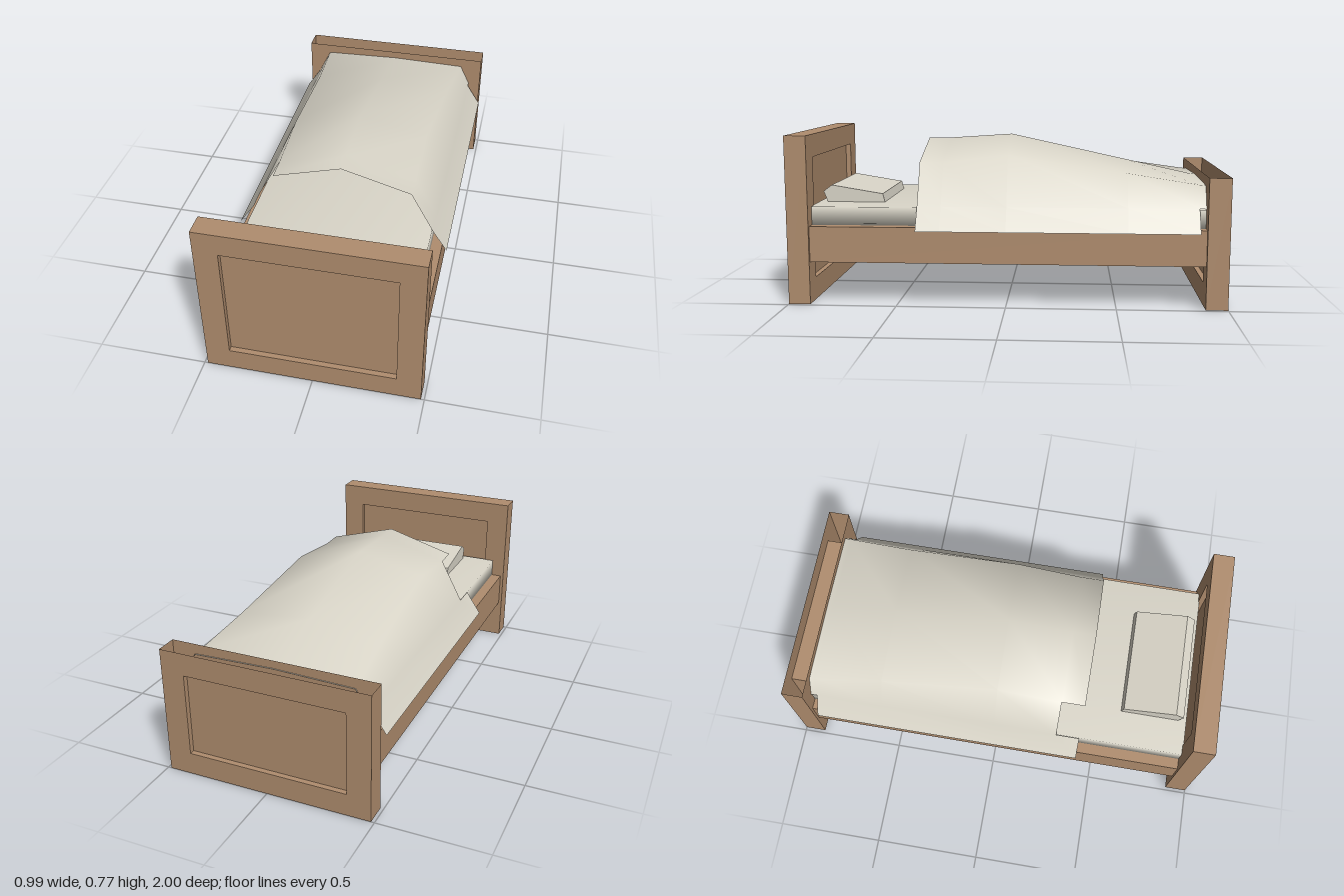
import * as THREE from 'three';
import { mergeVertices } from 'three/addons/utils/BufferGeometryUtils.js';

const wood = new THREE.MeshStandardMaterial({ color: 0xb08d6e, side: THREE.DoubleSide });
wood.name = 'wood';
const linen = new THREE.MeshStandardMaterial({ color: 0xd9d5c8, side: THREE.DoubleSide });
linen.name = 'linen';

function add(parent, name, geometry, material) {
  const mesh = new THREE.Mesh(geometry, material);
  mesh.name = name;
  parent.add(mesh);
  return mesh;
}

function box(x0, x1, y0, y1, z0, z1) {
  return new THREE.BoxGeometry(x1 - x0, y1 - y0, z1 - z0)
    .translate((x0 + x1) / 2, (y0 + y1) / 2, (z0 + z1) / 2);
}

// Frame with a recessed panel on both faces; the top edge can be left open
function endBoard(name, height, z, openTop) {
  const group = new THREE.Group();
  group.name = name;
  const W = 0.485, P = 0.375, M = 0.105;
  const shape = new THREE.Shape([[-W, 0], [W, 0], [W, height], [-W, height]]
    .map(p => new THREE.Vector2(...p)));
  shape.holes.push(new THREE.Path([[-P, M], [-P, height - M], [P, height - M], [P, M]]
    .map(p => new THREE.Vector2(...p))));
  let frame = new THREE.ExtrudeGeometry(shape, { depth: 0.1, bevelEnabled: false });
  if (openTop) {
    const pos = frame.attributes.position, kept = [];
    for (let i = 0; i < pos.count; i += 3) {
      const lowest = Math.min(pos.getY(i), pos.getY(i + 1), pos.getY(i + 2));
      if (lowest > height - 0.001) continue;
      for (let k = i; k < i + 3; k++) kept.push(pos.getX(k), pos.getY(k), pos.getZ(k));
    }
    frame = new THREE.BufferGeometry();
    frame.setAttribute('position', new THREE.Float32BufferAttribute(kept, 3));
    frame.computeVertexNormals();
  }
  add(group, name + 'Frame', frame, wood);
  add(group, name + 'Panel', box(-P, P, M, height - M, 0.025, 0.075), wood);
  group.position.z = z;
  return group;
}

// Draped blanket: each station runs from one hem over the top to the other
function blanketGeometry() {
  // z, ridge height, shoulder x, shoulder height
  const stations = [
    [0.41, 0.735, 0.32, 0.645],
    [0.3, 0.735, 0.32, 0.645],
    [0, 0.755, 0.32, 0.68],
    [-0.55, 0.635, 0.345, 0.6],
    [-0.87, 0.565, 0.373, 0.553],
    [-0.905, 0.56, 0.375, 0.55],
  ];
  const positions = [], index = [];
  for (const [z, ridge, sx, sy] of stations) {
    const section = [[-0.497, 0.345], [-0.425, 0.45], [-sx, sy], [0, ridge],
      [sx, sy], [0.425, 0.45], [0.493, 0.345]];
    for (const [x, y] of section) positions.push(x, y, z);
  }
  for (let i = 0; i < stations.length - 1; i++) {
    for (let j = 0; j < 6; j++) {
      const openCorner = i === 0 && j === 1;
      const hemPastEnd = i === stations.length - 2 && (j === 0 || j === 5);
      if (openCorner || hemPastEnd) continue;
      const a = i * 7 + j, b = a + 1, c = a + 8, d = a + 7;
      index.push(a, b, c, a, c, d);
    }
  }
  const g = new THREE.BufferGeometry();
  g.setAttribute('position', new THREE.Float32BufferAttribute(positions, 3));
  g.setIndex(index);
  g.computeVertexNormals();
  return g;
}

export function createModel() {
  const bed = new THREE.Group();
  bed.name = 'bed';

  bed.add(endBoard('headboard', 0.775, 0.9, false));
  bed.add(endBoard('footboard', 0.597, -1, true));
  add(bed, 'bedBase', box(-0.47, 0.47, 0.195, 0.36, -0.9, 0.9), wood);

  // Mattress with softly shaded edges
  let mattress = box(-0.42, 0.42, 0.355, 0.445, -0.92, 0.905);
  mattress.deleteAttribute('normal');
  mattress.deleteAttribute('uv');
  mattress = mergeVertices(mattress);
  mattress.computeVertexNormals();
  add(bed, 'mattress', mattress, linen);

  // Wedge-shaped pillow: side profile swept across the bed
  const profile = [[0.59, 0.445], [0.865, 0.445], [0.885, 0.495], [0.845, 0.525], [0.6, 0.485]];
  const pillow = new THREE.ExtrudeGeometry(
    new THREE.Shape(profile.map(p => new THREE.Vector2(...p))),
    { depth: 0.51, bevelEnabled: false });
  pillow.translate(0, 0, -0.255).rotateY(-Math.PI / 2);
  add(bed, 'pillow', pillow, linen);

  add(bed, 'blanket', blanketGeometry(), linen);
  return bed;
}
